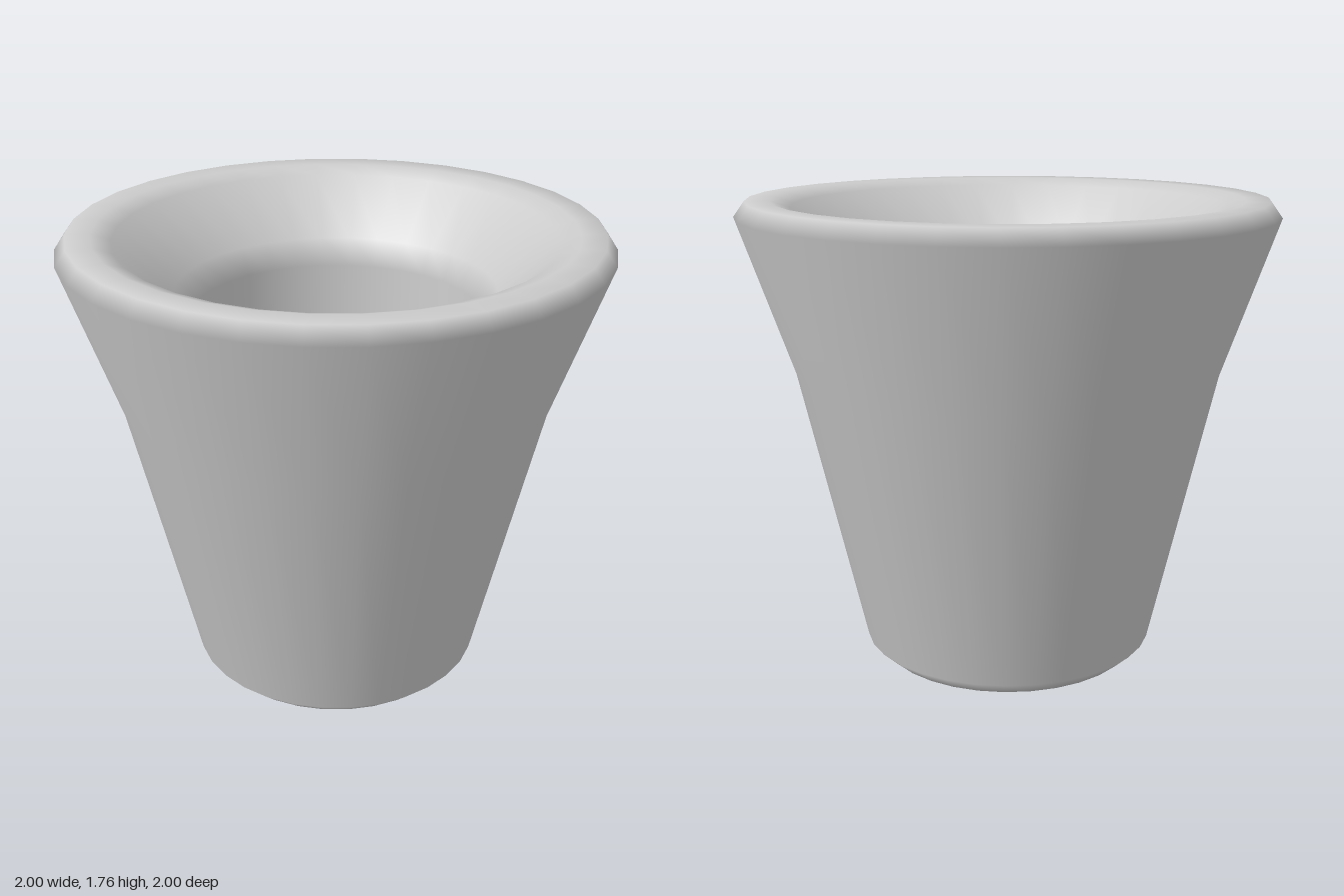
import * as THREE from 'three';

// Revolves a [radius, height] profile into a smooth 32-sided surface
function revolve(name, profile, material) {
  const points = profile.map(([r, y]) => new THREE.Vector2(r, y));
  const mesh = new THREE.Mesh(new THREE.LatheGeometry(points, 32), material);
  mesh.name = name;
  return mesh;
}

export function createModel() {
  const group = new THREE.Group();
  group.name = 'pot';
  const material = new THREE.MeshStandardMaterial({ color: 0xcccccc });

  // One continuous wall: underside, flared outside, bevelled rim, funnel, bore and floor
  group.add(revolve('potBody', [
    [0, 0], [0.5, 0], [0.56, 0.055],  // underside and foot bevel
    [0.8, 1.12], [1, 1.705],          // outer wall, flaring wider near the top
    [0.96, 1.76], [0.87, 1.76],       // rim
    [0.8, 1.735], [0.59, 1.53],       // funnel-shaped mouth
    [0.543, 1.43], [0.535, 0.45],     // bore
    [0.49, 0.4], [0, 0.4],            // inner floor
  ], material));

  return group;
}
